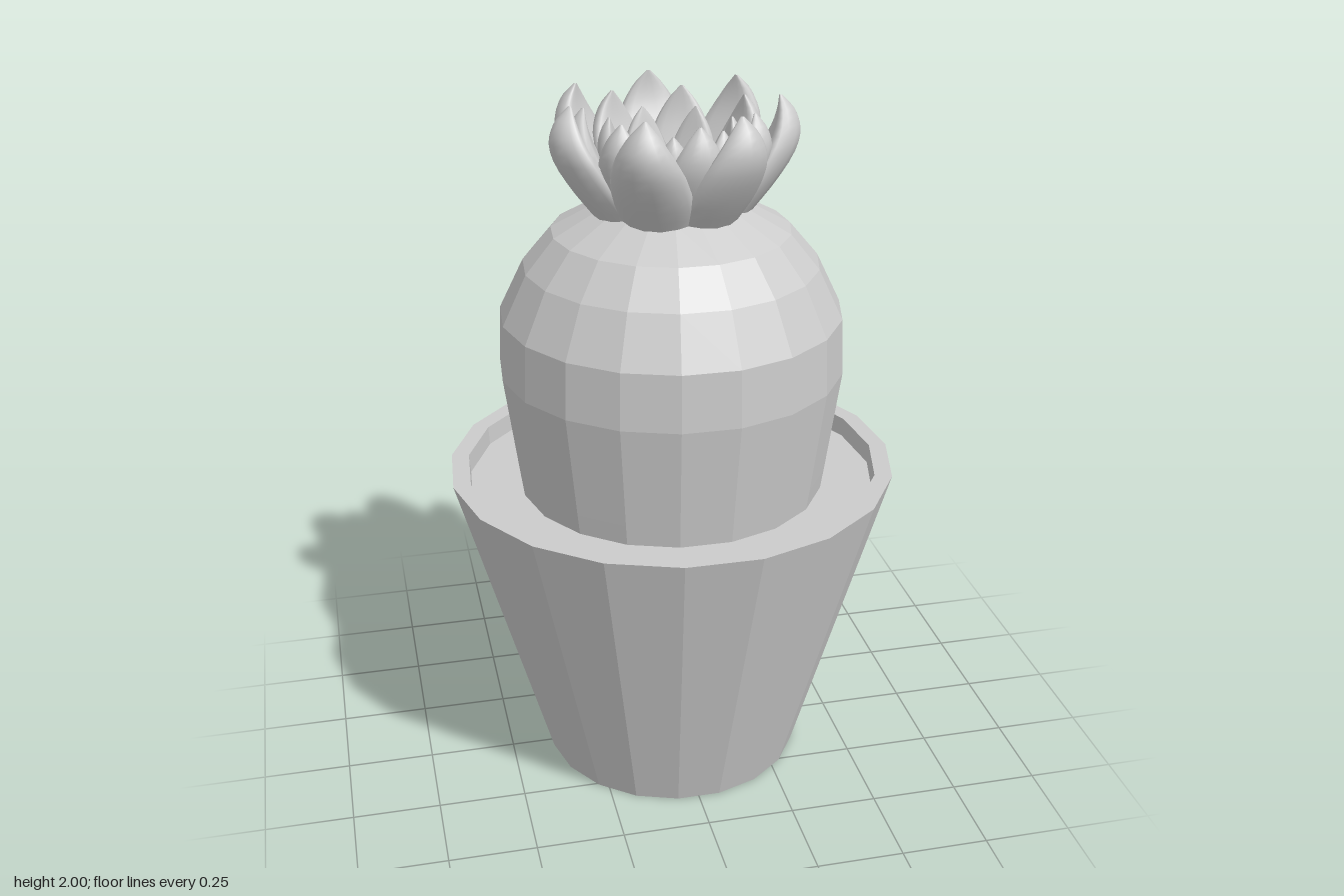
import * as THREE from 'three';

const SIDES = 19;
const flat = new THREE.MeshStandardMaterial({ color: 0xcccccc, flatShading: true });
const smooth = new THREE.MeshStandardMaterial({ color: 0xcccccc });

// Faceted turned body with one corner pointing to the back
function turned(name, profile) {
  const points = profile.map(([r, y]) => new THREE.Vector2(r, y));
  const mesh = new THREE.Mesh(new THREE.LatheGeometry(points, SIDES, Math.PI), flat);
  mesh.name = name;
  return mesh;
}

// Petal sections from base to tip: [outward, height, half width, half depth]
const PETAL = [
  [0.17, 1.69, 0.1, 0.05],
  [0.235, 1.77, 0.11, 0.046],
  [0.285, 1.85, 0.1, 0.045],
  [0.307, 1.91, 0.075, 0.038],
  [0.305, 1.96, 0.042, 0.024],
  [0.288, 2.0, 0.004, 0.004],
];

// Cupped leaf lofted through the sections, facing +z
function petalGeometry({ base, lean, size, tip }) {
  const cols = 14, rows = 12;
  const path = new THREE.CatmullRomCurve3(PETAL.map(([r, y]) => new THREE.Vector3(0, y, r)));
  const girth = new THREE.CatmullRomCurve3(PETAL.map(([, , w, d]) => new THREE.Vector3(w, d, 0)));
  const positions = [], index = [];
  for (let j = 0; j <= rows; j++) {
    const p = path.getPoint(j / rows), g = girth.getPoint(j / rows);
    const w = g.x * size, d = g.y * size;
    const r = base + (p.z - 0.17) * lean;
    const y = 1.69 + (p.y - 1.69) * (tip - 1.69) / 0.31;
    for (let i = 0; i < cols; i++) {
      const t = (i / cols) * Math.PI * 2;
      const cup = 0.28 * w * Math.cos(t) ** 2;
      positions.push(w * Math.cos(t), y, r + d * Math.sin(t) - cup);
      if (j < rows) {
        const a = j * cols + i, b = j * cols + (i + 1) % cols;
        index.push(a, a + cols, b, b, a + cols, b + cols);
      }
    }
  }
  const geometry = new THREE.BufferGeometry();
  geometry.setAttribute('position', new THREE.Float32BufferAttribute(positions, 3));
  geometry.setIndex(index);
  geometry.computeVertexNormals();
  return geometry;
}

export function createModel() {
  const model = new THREE.Group();
  model.name = 'pottedCactus';

  // Tapered pot with a flat rim, filled with soil
  model.add(turned('pot', [[0, 0], [0.378, 0], [0.64, 0.935], [0.59, 0.935], [0.585, 0.86]]));
  model.add(turned('soil', [[0.588, 0.88], [0, 0.88]]));

  // Rounded cactus body
  model.add(turned('cactusBody', [
    [0.435, 0.87], [0.445, 0.94], [0.485, 1.24], [0.478, 1.4],
    [0.41, 1.54], [0.33, 1.635], [0.2, 1.705], [0, 1.705],
  ]));

  // Flower: three rings of seven petals
  const flower = new THREE.Group();
  flower.name = 'flower';
  const rings = [
    { name: 'outerPetal', base: 0.17, lean: 1, size: 1, tip: 2.0, turn: 0 },
    { name: 'middlePetal', base: 0.15, lean: 0.7, size: 0.85, tip: 1.97, turn: 20 },
    { name: 'innerPetal', base: 0.13, lean: 0.33, size: 0.66, tip: 1.93, turn: -15 },
  ];
  for (const ring of rings) {
    const geometry = petalGeometry(ring);
    for (let k = 0; k < 7; k++) {
      const petal = new THREE.Mesh(geometry, smooth);
      petal.name = ring.name;
      petal.rotation.y = Math.PI - THREE.MathUtils.degToRad(ring.turn + (k * 360) / 7);
      flower.add(petal);
    }
  }
  model.add(flower);
  return model;
}
